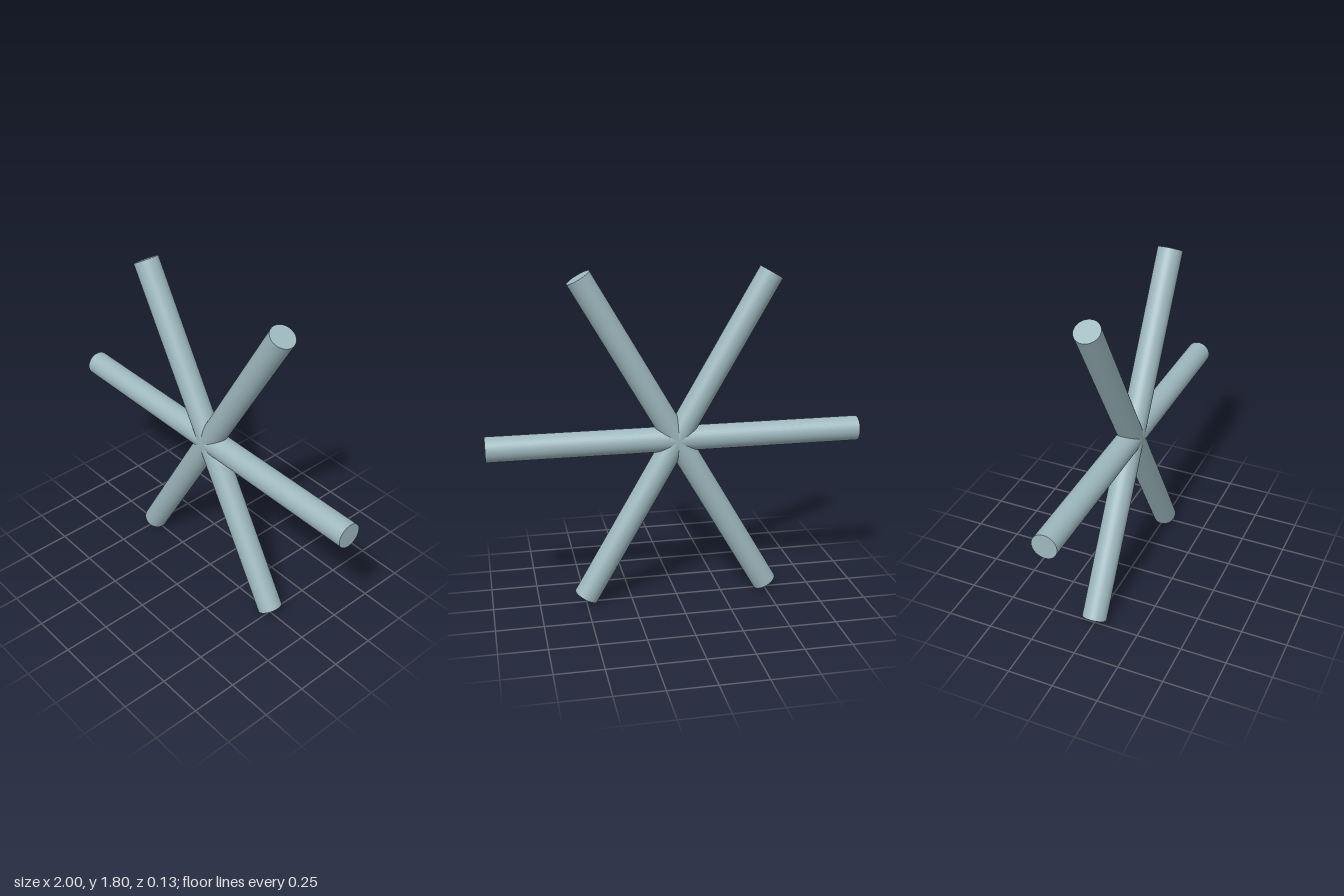
import * as THREE from 'three';

export function createModel() {
  const group = new THREE.Group();
  group.name = 'sixPointedStar';

  const paleTeal = new THREE.MeshStandardMaterial({ color: 0x9db8be });
  paleTeal.name = 'paleTeal';

  const radius = 0.067;
  const length = 2;
  const centreY = (length / 2) * Math.sin(Math.PI / 3) + radius * Math.cos(Math.PI / 3);

  // Three round bars crossing at the centre, 60 degrees apart
  const barGeometry = new THREE.CylinderGeometry(radius, radius, length, 48);
  const names = ['horizontalBar', 'risingLeftBar', 'risingRightBar'];
  names.forEach((name, i) => {
    const bar = new THREE.Mesh(barGeometry, paleTeal);
    bar.name = name;
    bar.position.y = centreY;
    bar.rotation.z = Math.PI / 2 + (i * Math.PI) / 3;
    group.add(bar);
  });

  return group;
}
